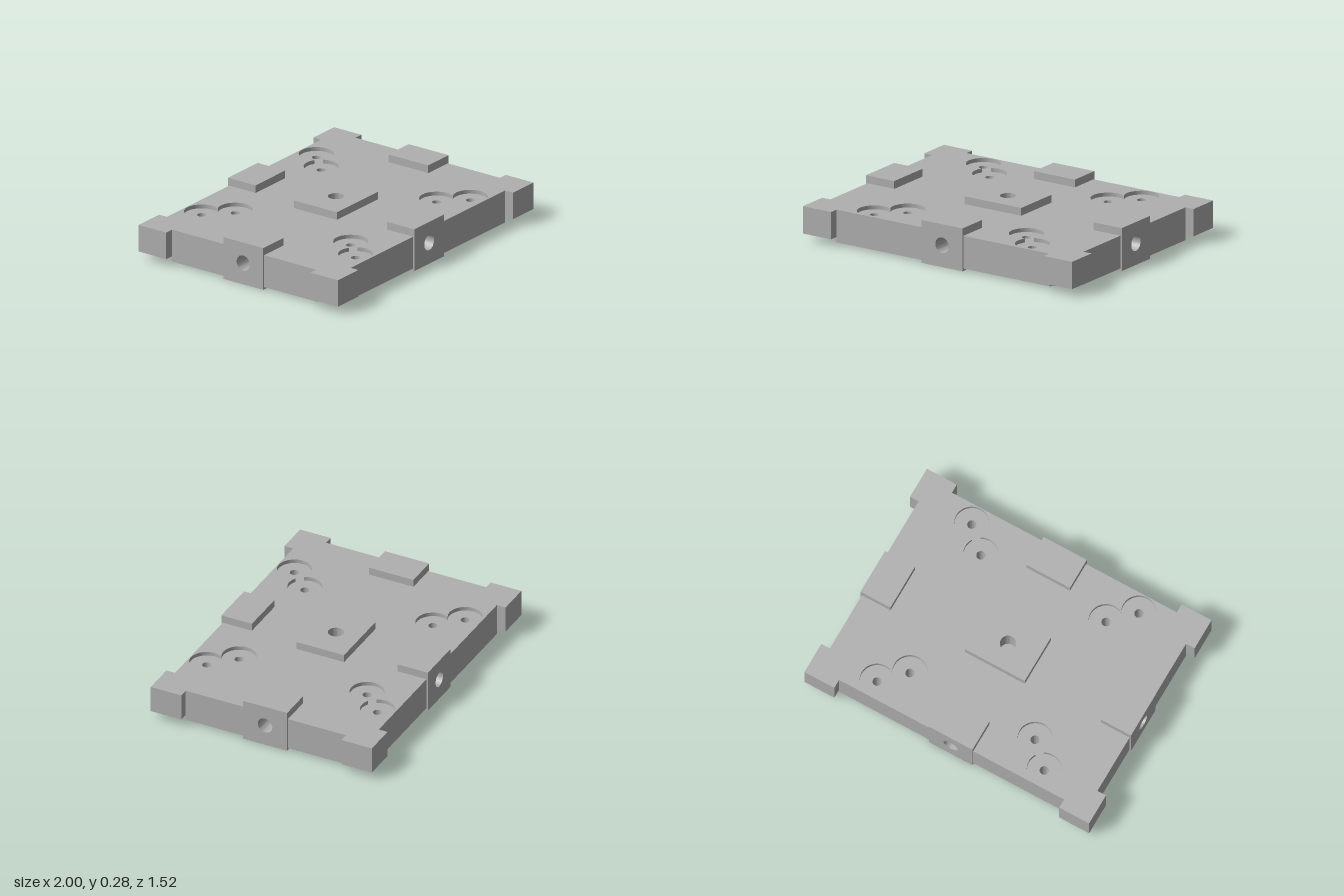
import * as THREE from 'three';
import { toCreasedNormals } from 'three/addons/utils/BufferGeometryUtils.js';

const QUADRANTS = [[1, 1], [-1, 1], [-1, -1], [1, -1]];

// Mirror a first-quadrant point list into a closed symmetric outline
function mirrored(pts) {
  return QUADRANTS.flatMap(([sx, sz], i) => {
    const q = pts.map(([x, z]) => new THREE.Vector2(x * sx, z * sz));
    return i % 2 ? q.reverse() : q;
  });
}

function circle(x, y, r) {
  return new THREE.Path().absarc(x, y, r, 0, Math.PI * 2, false);
}

function extrude(points, holes, depth) {
  const shape = new THREE.Shape(points);
  shape.holes.push(...holes);
  const geo = new THREE.ExtrudeGeometry(shape, { depth, bevelEnabled: false, curveSegments: 20 });
  return toCreasedNormals(geo, 0.6);
}

// Horizontal layer between two heights
function layer(points, holes, y0, y1) {
  return extrude(points, holes, y1 - y0).rotateX(-Math.PI / 2).translate(0, y0, 0);
}

// Two overlapping circles merged into one recess outline
function twinRecess(sx, sz, outer, inner, r) {
  const a = Math.atan2(-sz, -sx);
  const h = Math.acos((outer - inner) * Math.SQRT1_2 / r);
  const path = new THREE.Path();
  path.absarc(outer * sx, outer * sz, r, a + h, a - h + Math.PI * 2, false);
  path.absarc(inner * sx, inner * sz, r, a + Math.PI + h, a + Math.PI - h + Math.PI * 2, false);
  return path;
}

export function createModel() {
  const model = new THREE.Group();
  model.name = 'mountingPlate';
  const grey = new THREE.MeshStandardMaterial({ color: 0xb0b0b0 });
  grey.name = 'plain grey';
  const add = (name, geo) => {
    const mesh = new THREE.Mesh(geo, grey);
    mesh.name = name;
    model.add(mesh);
    return mesh;
  };

  const OUT = 0.587, IN = 0.44, BORE = 0.05;
  const rect = (w, h0, h1) => [[-w, h0], [w, h0], [w, h1], [-w, h1]].map(p => new THREE.Vector2(...p));

  // Plate outline: corner blocks plus notches that receive the edge pads
  const outline = mirrored([
    [0.74, 0.15], [0.94, 0.15], [0.94, 0.55], [1, 0.55], [1, 0.76],
    [0.79, 0.76], [0.79, 0.70], [0.15, 0.70], [0.15, 0.50],
  ]);

  // Main plate with screw holes and the central bore
  const screwHoles = QUADRANTS.flatMap(([sx, sz]) =>
    [OUT, IN].map(c => circle(c * sx, c * sz, 0.028)));
  add('plateBody', layer(outline, [...screwHoles, circle(0, 0, BORE)], 0.05, 0.2));

  // Top layer with the twin counterbores
  const recesses = QUADRANTS.map(([sx, sz]) => twinRecess(sx, sz, OUT, IN, 0.1075));
  add('plateTop', layer(outline, [...recesses, circle(0, 0, BORE)], 0.2, 0.225));

  // Raised lip around the underside, with chamfered corners
  const lipOuter = mirrored([[0.94, 0.55], [0.79, 0.70]]);
  const lipInner = new THREE.Path(mirrored([[0.88, 0.525], [0.765, 0.64]]));
  add('undersideLip', layer(lipOuter, [lipInner], 0.015, 0.05));

  // Central raised pad and the floor of its blind bore
  add('centrePad', layer(rect(0.21, -0.163, 0.163), [circle(0, 0, BORE)], 0.225, 0.275));
  add('centreBoreFloor', new THREE.CylinderGeometry(BORE, BORE, 0.08, 40).translate(0, 0.09, 0));

  // Edge pads with a horizontal bore, one on each side
  const padGeo = extrude(rect(0.152, 0, 0.275), [circle(0, 0.14, BORE)], 0.21);
  ['frontPad', 'leftPad', 'backPad', 'rightPad'].forEach((name, i) => {
    const angle = i * Math.PI / 2;
    const inner = i % 2 ? 0.74 : 0.50;
    const pad = add(name, padGeo);
    pad.rotation.y = angle;
    pad.position.set(Math.sin(angle) * inner, 0, Math.cos(angle) * inner);
  });

  return model;
}
